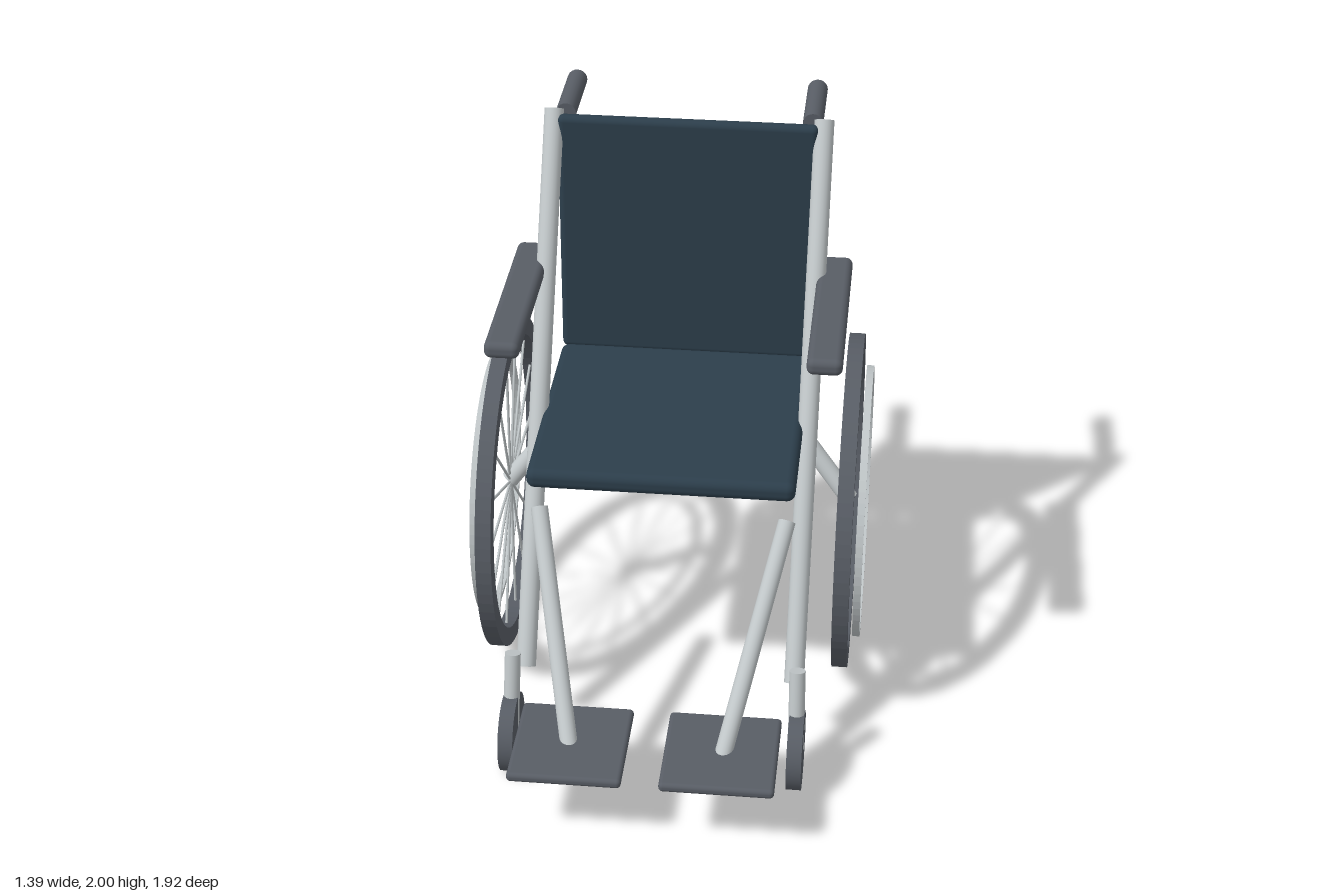
import * as THREE from 'three';
import { RoundedBoxGeometry } from 'three/addons/geometries/RoundedBoxGeometry.js';

const mat = (name, color) => {
  const m = new THREE.MeshStandardMaterial({ color });
  m.name = name;
  return m;
};

export function createModel() {
  const steel = mat('steel', 0xc0c6c8);
  const rubber = mat('grey rubber', 0x585d65);
  const fabric = mat('navy fabric', 0x2c3e4b);
  const model = new THREE.Group();
  model.name = 'wheelchair';

  const add = (parent, name, geometry, material) => {
    const mesh = new THREE.Mesh(geometry, material);
    mesh.name = name;
    parent.add(mesh);
    return mesh;
  };

  // straight round tube between two points
  const tube = (parent, name, a, b, radius, material, sides = 20) => {
    const start = new THREE.Vector3(...a), end = new THREE.Vector3(...b);
    const dir = end.clone().sub(start);
    const mesh = add(parent, name, new THREE.CylinderGeometry(radius, radius, dir.length(), sides), material);
    mesh.position.copy(start).add(end).multiplyScalar(0.5);
    mesh.quaternion.setFromUnitVectors(new THREE.Vector3(0, 1, 0), dir.normalize());
    return mesh;
  };

  // rounded box given by its lower and upper corners
  const pad = (parent, name, min, max, radius, material) => {
    const size = max.map((v, i) => v - min[i]);
    const mesh = add(parent, name, new RoundedBoxGeometry(...size, 4, radius), material);
    mesh.position.set(...max.map((v, i) => (v + min[i]) / 2));
    return mesh;
  };

  // flat ring centred on the origin with its axis along x
  const ring = (outer, inner, width) => {
    const shape = new THREE.Shape().absarc(0, 0, outer, 0, Math.PI * 2, false);
    shape.holes.push(new THREE.Path().absarc(0, 0, inner, 0, Math.PI * 2, true));
    return new THREE.ExtrudeGeometry(shape, { depth: width, bevelEnabled: false, curveSegments: 40 })
      .translate(0, 0, -width / 2).rotateY(Math.PI / 2);
  };

  // seat and backrest
  pad(model, 'seat', [-0.46, 1.0, -0.6], [0.46, 1.073, 0.315], 0.03, fabric);
  pad(model, 'backrest', [-0.46, 1.05, -0.643], [0.46, 1.975, -0.595], 0.022, fabric);

  for (const [side, s] of [['left', 1], ['right', -1]]) {
    const half = new THREE.Group();
    half.name = side + 'Side';
    model.add(half);
    const mirrored = (name, x0, x1, y0, y1, z0, z1, r) => pad(half, name,
      [Math.min(s * x0, s * x1), y0, z0], [Math.max(s * x0, s * x1), y1, z1], r, rubber);

    // frame, push handle and armrest
    tube(half, 'frameTube', [s * 0.477, 0.265, 0.328], [s * 0.477, 1.98, -0.655], 0.035, steel);
    tube(half, 'pushHandle', [s * 0.437, 1.963, -0.66], [s * 0.437, 1.963, -0.963], 0.036, rubber);
    mirrored('armrest', 0.48, 0.6, 1.46, 1.52, -0.528, 0.242, 0.024);

    // footrest
    tube(half, 'footrestTube', [s * 0.43, 0.867, 0.215], [s * 0.262, 0.258, 0.76], 0.03, steel);
    mirrored('footplate', 0.063, 0.45, 0.245, 0.28, 0.552, 0.957, 0.015);

    // caster
    const caster = add(half, 'casterWheel',
      new THREE.CylinderGeometry(0.139, 0.139, 0.052, 40).rotateZ(Math.PI / 2), rubber);
    caster.position.set(s * 0.5, 0.14, 0.547);
    tube(half, 'casterFork', [s * 0.5, 0.145, 0.547], [s * 0.495, 0.432, 0.482], 0.028, steel);

    // large wheel with tyre, push rim and spokes
    const wheel = new THREE.Group();
    wheel.name = 'rearWheel';
    wheel.position.set(s * 0.627, 0.615, -0.337);
    half.add(wheel);
    add(wheel, 'tyre', ring(0.612, 0.545, 0.056), rubber);
    add(wheel, 'pushRim', ring(0.497, 0.479, 0.026), steel).position.x = s * 0.054;
    for (let i = 0; i < 16; i++) {
      const a = (i / 16) * Math.PI * 2;
      tube(wheel, 'spoke', [0, 0, 0], [0, Math.sin(a) * 0.542, Math.cos(a) * 0.542], 0.005, steel, 8);
    }
    tube(half, 'axleTube', [s * 0.63, 0.62, -0.337], [s * 0.42, 0.865, -0.425], 0.033, steel);
  }
  return model;
}
